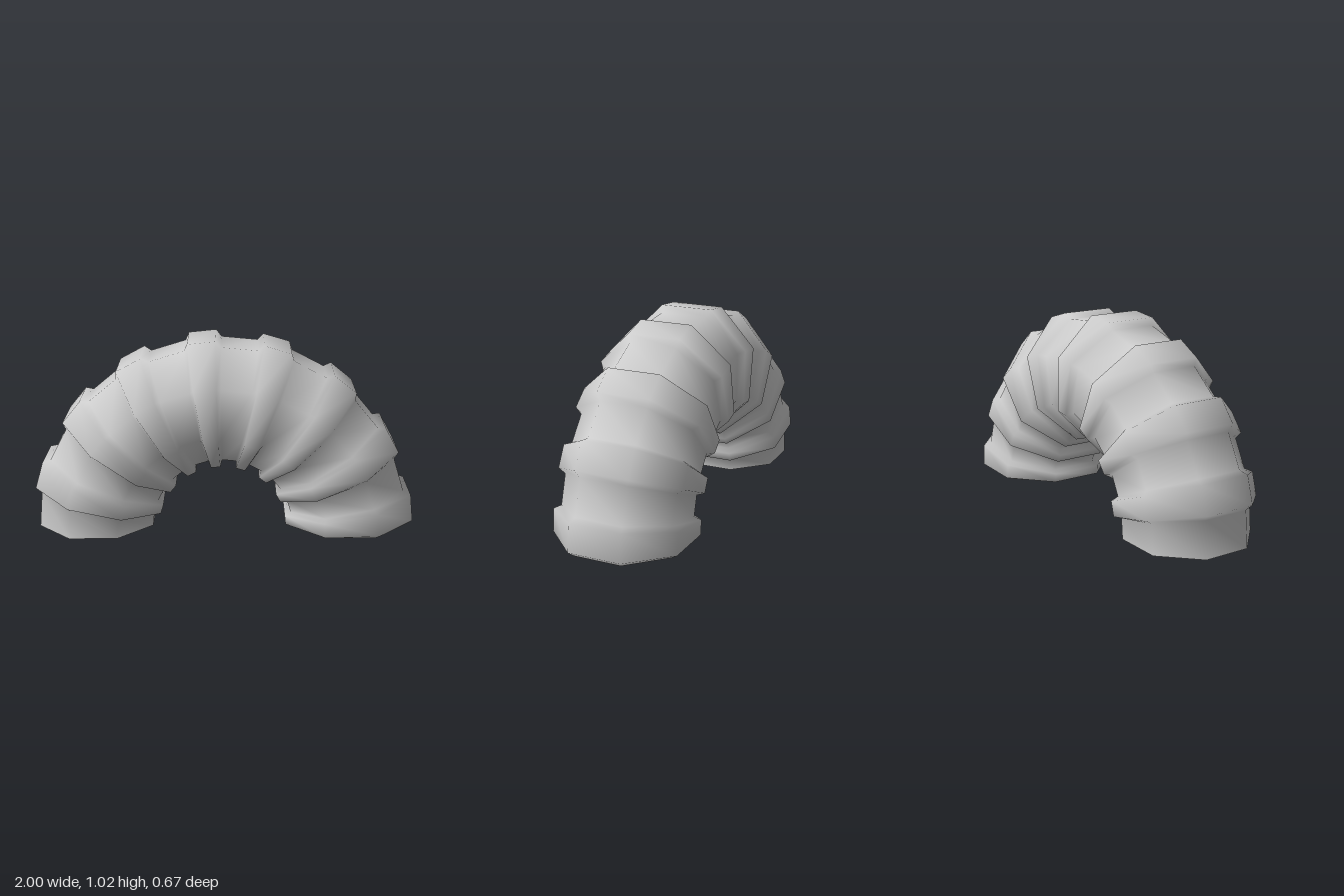
import * as THREE from 'three';

const SIDES = 8, RIBS = 8, ARCH_RADIUS = 0.6725;
const NARROW = 0.3025, WIDE = 0.337; // distance from tube axis to a flat side
const CENTER = new THREE.Vector3(-0.008, 0.008, 0);
const START = 180.4, STEP = 22.5;    // degrees, from the right end (-x) to the left end (+x)

const material = new THREE.MeshStandardMaterial({ color: 0xcccccc, side: THREE.DoubleSide });

// Corner k of the octagonal section at an arch angle; flats face +-z and in/out
function corner(degrees, apothem, k) {
  const a = THREE.MathUtils.degToRad(degrees);
  const t = (k + 0.5) * Math.PI * 2 / SIDES;
  const r = apothem / Math.cos(Math.PI / SIDES);
  const d = ARCH_RADIUS + r * Math.cos(t);
  return [CENTER.x + d * Math.cos(a), CENTER.y + d * Math.sin(a), r * Math.sin(t)];
}

function buildGeometry(positions, index) {
  const g = new THREE.BufferGeometry();
  g.setAttribute('position', new THREE.Float32BufferAttribute(positions, 3));
  g.setIndex(index);
  g.computeVertexNormals();
  return g;
}

// Ribbed tube swept along a half circle
function tubeGeometry() {
  const rings = [];
  for (let i = 0; i < RIBS; i++) {
    const a = START - i * STEP;
    rings.push([a, NARROW], [a - 11.2, NARROW], [a - 12.6, WIDE], [a - 20.9, WIDE]);
  }
  rings.push([START - RIBS * STEP, NARROW]);

  const positions = [], index = [];
  rings.forEach(([angle, apothem], j) => {
    for (let k = 0; k < SIDES; k++) {
      positions.push(...corner(angle, apothem, k));
      if (j === 0) continue;
      const n = (k + 1) % SIDES;
      const a = (j - 1) * SIDES + k, b = (j - 1) * SIDES + n;
      const c = j * SIDES + k, d = j * SIDES + n;
      index.push(a, b, c, b, d, c);
    }
  });
  return buildGeometry(positions, index);
}

// Two opposed triangles crossing an open end, from the front flat to the back flat
function endWebGeometry(angle, flip) {
  const a = THREE.MathUtils.degToRad(angle);
  const positions = [
    CENTER.x + ARCH_RADIUS * Math.cos(a), CENTER.y + ARCH_RADIUS * Math.sin(a), 0,
    ...[1, 2, 5, 6].flatMap((k) => corner(angle, NARROW, k)),
  ];
  return buildGeometry(positions, flip ? [0, 2, 1, 0, 4, 3] : [0, 1, 2, 0, 3, 4]);
}

export function createModel() {
  const group = new THREE.Group();
  group.name = 'ribbedArchTube';
  const add = (name, geometry) => {
    const mesh = new THREE.Mesh(geometry, material);
    mesh.name = name;
    group.add(mesh);
  };
  add('ribbedTube', tubeGeometry());
  add('rightEndWeb', endWebGeometry(START, false));
  add('leftEndWeb', endWebGeometry(START - RIBS * STEP, true));
  return group;
}
